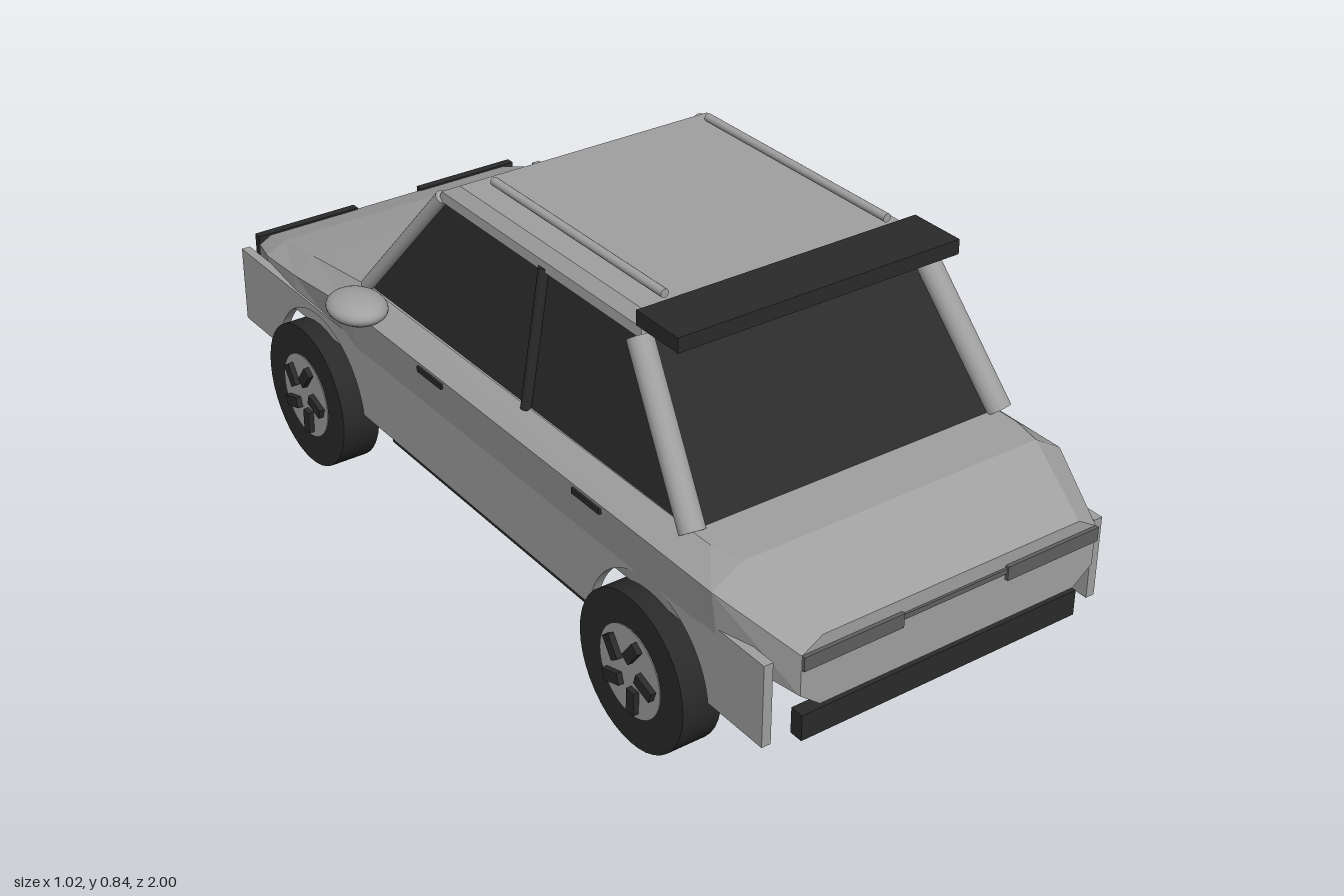
import * as THREE from 'three';

const mat = (name, color) => Object.assign(new THREE.MeshStandardMaterial({ color }), { name });

export function createModel() {
  const car = new THREE.Group();
  car.name = 'car';
  const paint = mat('grey paint', 0xa0a0a0);
  const black = mat('black trim', 0x2a2a2a);
  const glass = mat('dark glass', 0x2c2c2c);
  const lamp = mat('tail lamp grey', 0x606060);

  const add = (name, geo, material, pos = [0, 0, 0], parent = car) => {
    const m = new THREE.Mesh(geo, material);
    m.name = name;
    m.position.set(...pos);
    parent.add(m);
    return m;
  };
  // box given by its x, y and z ranges
  const block = (name, material, [x0, x1], [y0, y1], [z0, z1]) =>
    add(name, new THREE.BoxGeometry(x1 - x0, y1 - y0, z1 - z0), material,
      [(x0 + x1) / 2, (y0 + y1) / 2, (z0 + z1) / 2]);

  // flat-faced loft: sections run from +z to -z, rings counterclockwise
  const loft = (sections) => {
    const p = [];
    const rings = sections.map(([z, ring]) => ring.map(([x, y]) => [x, y, z]));
    const tri = (a, b, c) => p.push(...a, ...b, ...c);
    const n = rings[0].length;
    for (let s = 0; s < rings.length - 1; s++) {
      const a = rings[s], b = rings[s + 1];
      for (let i = 0; i < n; i++) {
        const j = (i + 1) % n;
        tri(a[i], b[i], a[j]);
        tri(b[i], b[j], a[j]);
      }
    }
    const first = rings[0], last = rings[rings.length - 1];
    for (let i = 1; i < n - 1; i++) {
      tri(first[0], first[i], first[i + 1]);
      tri(last[0], last[i + 1], last[i]);
    }
    const g = new THREE.BufferGeometry();
    g.setAttribute('position', new THREE.Float32BufferAttribute(p, 3));
    g.computeVertexNormals();
    return g;
  };

  // stacked rectangles, top first: [y, halfWidth, larger z, smaller z]
  const stack = (levels) => loft(levels.map(([y, x, z0, z1]) =>
    [y, [[-x, -z0], [x, -z0], [x, -z1], [-x, -z1]]])).rotateX(-Math.PI / 2);

  // lower body: [z, deck x, deck y, side x, shoulder y, lower side y, floor x, floor y]
  const bodySections = [
    [0.99, 0.3, 0.412, 0.345, 0.385, 0.3, 0.3, 0.265],
    [0.82, 0.345, 0.485, 0.41, 0.445, 0.32, 0.3, 0.24],
    [0.75, 0.36, 0.485, 0.41, 0.445, 0.315, 0.36, 0.285],
    [-0.43, 0.365, 0.485, 0.41, 0.445, 0.315, 0.36, 0.285],
    [-0.7, 0.345, 0.433, 0.393, 0.4, 0.315, 0.35, 0.285],
    [-0.86, 0.33, 0.4, 0.376, 0.375, 0.3, 0.32, 0.255],
    [-0.975, 0.31, 0.36, 0.337, 0.345, 0.275, 0.31, 0.25],
  ].map(([z, dx, dy, sx, sy, ly, fx, fy]) => {
    // the lower edge tucks in behind the side panels
    const half = [[fx, fy], [Math.min(sx, 0.394), ly], [sx, sy], [dx, dy]];
    return [z, [...half, ...half.map(([x, y]) => [-x, y]).reverse()]];
  });
  add('body', loft(bodySections), paint);

  // cabin
  add('windows', stack([[0.77, 0.312, 0.475, -0.185], [0.478, 0.36, 0.7, -0.43]]), glass);
  add('roof', stack([
    [0.806, 0.3, 0.46, -0.15],
    [0.785, 0.32, 0.485, -0.187],
    [0.764, 0.322, 0.49, -0.195],
  ]), paint);
  block('roofSpoiler', black, [-0.324, 0.324], [0.787, 0.818], [0.475, 0.6]);

  // round bar between two points
  const bar = (name, a, b, r, material) => {
    const from = new THREE.Vector3(...a), to = new THREE.Vector3(...b);
    const dir = to.clone().sub(from);
    const m = add(name, new THREE.CylinderGeometry(r, r, dir.length(), 16), material,
      from.add(to).multiplyScalar(0.5).toArray());
    m.quaternion.setFromUnitVectors(new THREE.Vector3(0, 1, 0), dir.normalize());
  };

  // side panel with two wheel arches
  const rearZ = 0.615, frontZ = -0.6, hubY = 0.163, archR = 0.187, bottom = 0.19;
  const archA = Math.asin((bottom - hubY) / archR), archDx = archR * Math.cos(archA);
  const side = new THREE.Shape();
  side.moveTo(-0.94, bottom);
  for (const z of [frontZ, rearZ]) {
    side.lineTo(z - archDx, bottom);
    side.absarc(z, hubY, archR, Math.PI - archA, archA, true);
  }
  side.lineTo(0.955, bottom);
  side.lineTo(0.955, 0.365);
  side.lineTo(-0.94, 0.365);
  const panelGeo = new THREE.ExtrudeGeometry(side, { depth: 0.02, bevelEnabled: false, curveSegments: 20 });
  panelGeo.translate(0, 0, -0.01).rotateY(-Math.PI / 2);

  // wheel, axle along x
  const wheel = (x, z) => {
    const g = new THREE.Group();
    g.name = 'wheel';
    g.position.set(x, hubY, z);
    const disc = (name, r, w, m) =>
      add(name, new THREE.CylinderGeometry(r, r, w, 40).rotateZ(Math.PI / 2), m, [0, 0, 0], g);
    disc('tyre', 0.163, 0.086, black);
    disc('rim', 0.095, 0.09, paint);
    for (let i = 0; i < 5; i++) {
      const a = (i / 5) * Math.PI * 2 + 0.3;
      const slot = add('rimSlot', new THREE.BoxGeometry(0.114, 0.05, 0.024), black,
        [0, Math.cos(a) * 0.056, Math.sin(a) * 0.056], g);
      slot.rotation.x = a + 0.35;
    }
    car.add(g);
  };

  // everything that is mirrored left and right
  for (const s of [1, -1]) {
    const range = (a, b) => (s > 0 ? [a, b] : [-b, -a]);
    add('sidePanel', panelGeo, paint, [s * 0.388, 0, 0]);
    block('sill', black, range(0.375, 0.395), [0.18, 0.191], [-0.3, 0.405]);
    bar('rearPillar', [s * 0.362, 0.485, 0.7], [s * 0.323, 0.769, 0.485], 0.026, paint);
    bar('windscreenPillar', [s * 0.363, 0.485, -0.43], [s * 0.316, 0.771, -0.19], 0.015, paint);
    bar('doorPillar', [s * 0.363, 0.48, 0.17], [s * 0.316, 0.77, 0.17], 0.012, black);
    bar('roofRail', [s * 0.258, 0.828, -0.09], [s * 0.258, 0.828, 0.47], 0.009, paint);
    add('mirror', new THREE.SphereGeometry(1, 28, 18).scale(0.06, 0.03, 0.074), paint,
      [s * 0.45, 0.511, -0.32]);
    for (const z of [0.44, -0.108])
      block('doorHandle', black, range(0.4, 0.414), [0.426, 0.438], [z - 0.045, z + 0.045]);
    block('headlight', black, range(0.085, 0.34), [0.312, 0.367], [-0.986, -0.966]);
    block('headlightLens', paint, range(0.115, 0.31), [0.328, 0.351], [-0.993, -0.985]);
    block('tailLight', lamp, range(0.122, 0.345), [0.356, 0.386], [0.975, 0.998]);
    wheel(s * 0.393, rearZ);
    wheel(s * 0.393, frontZ);
  }

  // ends
  block('tailStrip', lamp, [-0.122, 0.122], [0.37, 0.381], [0.985, 0.995]);
  block('rearBumper', black, [-0.326, 0.326], [0.185, 0.24], [0.945, 0.975]);
  block('frontBumper', black, [-0.27, 0.27], [0.21, 0.293], [-0.99, -0.968]);
  block('frontPlate', paint, [-0.11, 0.11], [0.232, 0.272], [-0.998, -0.989]);
  return car;
}
